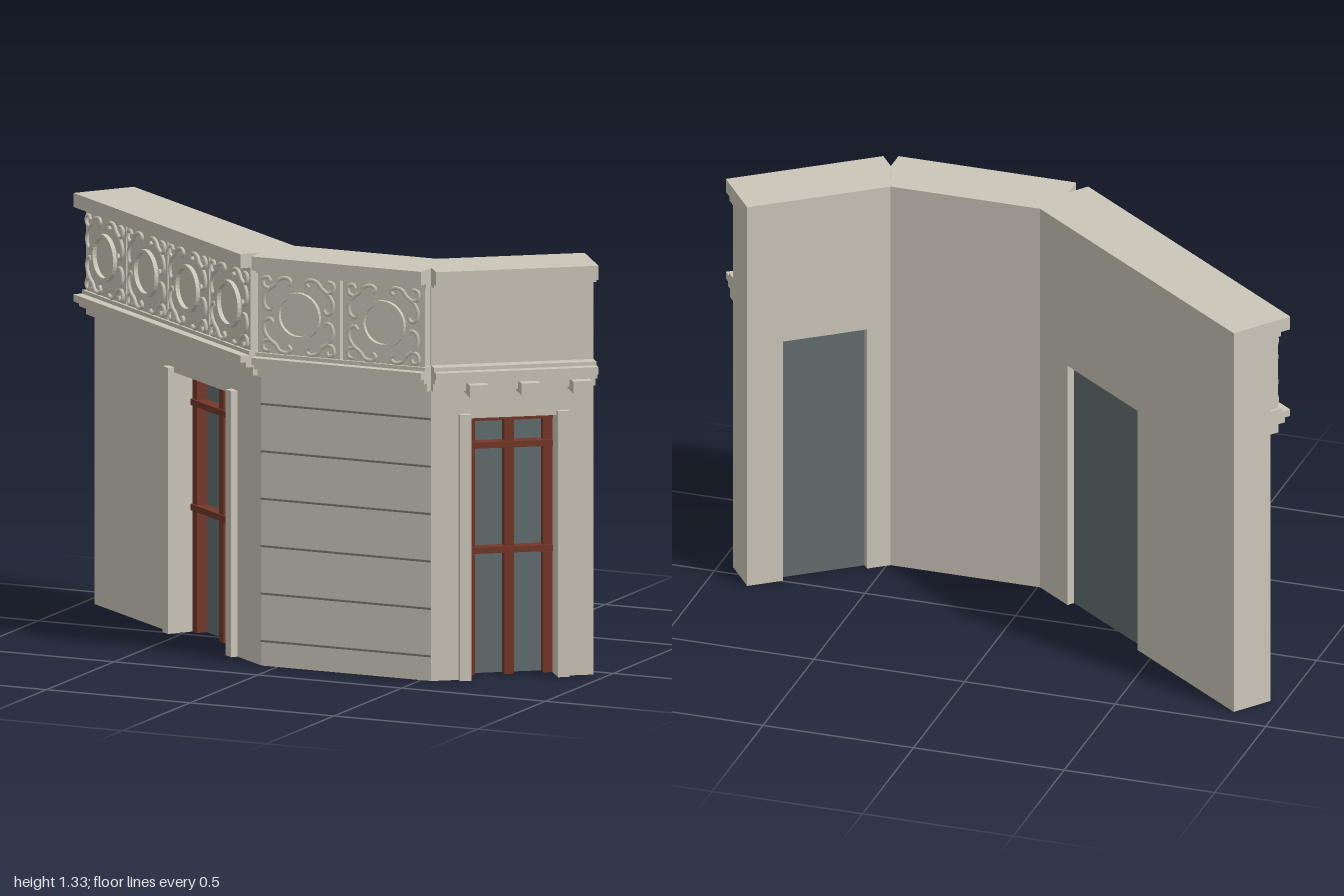
import * as THREE from 'three';

const mat = (name, color) => {
  const m = new THREE.MeshStandardMaterial({ color });
  m.name = name;
  return m;
};

const THICK = 0.14, MITRE = 0.047, ANGLE = THREE.MathUtils.degToRad(37);
const WALL_TOP = 1.28, TOP = 1.325, DOOR_TOP = 0.837;

// Extrudes a plan polygon of [along, outward] points from y0 up to y1
function slab(parent, name, material, plan, y0, y1) {
  const shape = new THREE.Shape(plan.map(([x, z]) => new THREE.Vector2(x, -z)));
  const geo = new THREE.ExtrudeGeometry(shape, { depth: y1 - y0, bevelEnabled: false });
  geo.rotateX(-Math.PI / 2).translate(0, y0, 0);
  const mesh = new THREE.Mesh(geo, material);
  mesh.name = name;
  parent.add(mesh);
  return mesh;
}

const rect = (a, b, back, front) => [[a, back], [b, back], [b, front], [a, front]];

// Cornice and parapet bands: [name, bottom, top, overhang]
const BANDS = [
  ['corniceLowerMoulding', 0.932, 0.96, 0.03],
  ['corniceMiddleMoulding', 0.96, 0.977, 0.055],
  ['corniceLedge', 0.977, 1.0, 0.075],
  ['parapetBase', 1.0, 1.012, 0.045],
  ['capMoulding', 1.266, 1.28, 0.04],
];

// Ornamental parapet panel centred on x = 0, y = 0, facing +z
function ornamentPanel(width, stone) {
  const panel = new THREE.Group();
  panel.name = 'ornamentPanel';
  const plate = new THREE.Mesh(new THREE.BoxGeometry(width, 0.254, 0.045), stone);
  plate.name = 'panelPlate';
  plate.position.z = 0.013;
  panel.add(plate);

  const ringShape = new THREE.Shape().absarc(0, 0, 0.076, 0, Math.PI * 2);
  ringShape.holes.push(new THREE.Path().absarc(0, 0, 0.064, 0, Math.PI * 2, true));
  const ring = new THREE.Mesh(
    new THREE.ExtrudeGeometry(ringShape, { depth: 0.016, bevelEnabled: false, curveSegments: 16 }), stone);
  ring.name = 'ring';
  ring.position.z = 0.034;
  panel.add(ring);

  // Scrolls, one set for each quarter
  const scrolls = [
    [[0.088, 0.026], [0.098, 0.014], [0.115, 0.022], [0.12, 0.05], [0.104, 0.078],
      [0.08, 0.096], [0.066, 0.114], [0.04, 0.12], [0.026, 0.108], [0.036, 0.096]],
    [[0.098, 0.08], [0.12, 0.09], [0.122, 0.112], [0.104, 0.118], [0.098, 0.106]],
  ];
  for (const sx of [-1, 1]) for (const sy of [-1, 1]) for (const pts of scrolls) {
    const curve = new THREE.CatmullRomCurve3(pts.map(([x, y]) => new THREE.Vector3(sx * x, sy * y, 0.04)));
    const scroll = new THREE.Mesh(new THREE.TubeGeometry(curve, pts.length * 3, 0.0065, 5), stone);
    scroll.name = 'scroll';
    panel.add(scroll);
  }
  return panel;
}

function addPanels(parent, start, end, count, stone) {
  const pitch = (end - start) / count;
  for (let i = 0; i < count; i++) {
    const panel = ornamentPanel(Math.abs(pitch) - 0.01, stone);
    panel.position.set(start + pitch * (i + 0.5), 1.139, 0);
    parent.add(panel);
  }
}

// Angled wing with a glazed door; side is +1 for left and -1 for right
function createWing(name, side, cornerX, length, d0, d1, m) {
  const wing = new THREE.Group();
  wing.name = name;
  wing.position.set(cornerX, 0, 0.357);
  wing.rotation.y = side * ANGLE;
  const add = (part, material, plan, y0, y1) =>
    slab(wing, part, material, plan.map(([u, n]) => [side * u, n]), y0, y1);

  // Wall around the door opening
  add('wallNearCorner', m.stone, [[0, 0], [d0, 0], [d0, -THICK], [MITRE, -THICK]], 0, DOOR_TOP);
  add('wallFarEnd', m.stone, rect(d1, length, -THICK, 0), 0, DOOR_TOP);
  add('wallAboveDoor', m.stone, [[0, 0], [length, 0], [length, -THICK], [MITRE, -THICK]], DOOR_TOP, WALL_TOP);
  add('cap', m.stone,
    [[0, 0], [0, 0.075], [length, 0.075], [length, -THICK], [MITRE, -THICK]], WALL_TOP, TOP);
  for (const [part, y0, y1, out] of BANDS) add(part, m.stone, rect(0, length, -0.02, out), y0, y1);

  // Door pilasters
  add('pilaster', m.stone, rect(d0 - 0.037, d0, -0.03, 0.022), 0, 0.853);
  add('pilaster', m.stone, rect(d1, d1 + 0.037, -0.03, 0.022), 0, 0.853);

  // Glass and red door frame
  add('glass', m.glass, rect(d0, d1, -0.115, -0.1), 0, DOOR_TOP);
  const mid = (d0 + d1) / 2;
  for (const u of [d0 + 0.015, mid, d1 - 0.015])
    add('doorUpright', m.red, rect(u - 0.015, u + 0.015, -0.101, -0.065), 0, DOOR_TOP);
  for (const y of [0.826, 0.737, 0.4])
    add('doorRail', m.red, rect(d0, d1, -0.101, -0.058), y - 0.01, y + 0.01);
  return { wing, add };
}

export function createModel() {
  const model = new THREE.Group();
  model.name = 'cornerFacade';
  const m = {
    stone: mat('stone', 0xcbc6b9),
    groove: mat('dark joint', 0x77736a),
    glass: mat('dark glass', 0x626e6f),
    red: mat('red brown wood', 0x74382a),
  };

  // Centre wall
  const centre = new THREE.Group();
  centre.name = 'centreBay';
  centre.position.set(0.24, 0, 0.357);
  const H = 0.295;
  const wallPlan = [[-H, 0], [H, 0], [H - MITRE, -THICK], [MITRE - H, -THICK]];
  slab(centre, 'centreWall', m.stone, wallPlan, 0, WALL_TOP);
  slab(centre, 'cap', m.stone,
    [[-H, 0.075], [H, 0.075], [H, 0], [H - MITRE, -THICK], [MITRE - H, -THICK], [-H, 0]], WALL_TOP, TOP);
  for (const [part, y0, y1, out] of BANDS) slab(centre, part, m.stone, rect(-H, H, -0.02, out), y0, y1);
  for (let i = 0; i < 6; i++) {
    const y = 0.08 + i * 0.152;
    slab(centre, 'wallJoint', m.groove, rect(-H, H, -0.005, 0.006), y - 0.003, y + 0.003);
  }
  addPanels(centre, -H, H, 2, m.stone);
  model.add(centre);

  // Long wing with four ornament panels
  const long = createWing('rightWing', -1, -0.055, 1.128, 0.2, 0.59, m);
  addPanels(long.wing, -0.003, -1.123, 4, m.stone);
  model.add(long.wing);

  // Short wing with plain parapet and cornice brackets
  const short = createWing('leftWing', 1, 0.535, 0.522, 0.125, 0.403, m);
  for (const u of [0.106, 0.272, 0.438])
    short.add('corniceBracket', m.stone, rect(u, u + 0.06, -0.02, 0.09), 0.922, 0.96);
  model.add(short.wing);

  return model;
}
